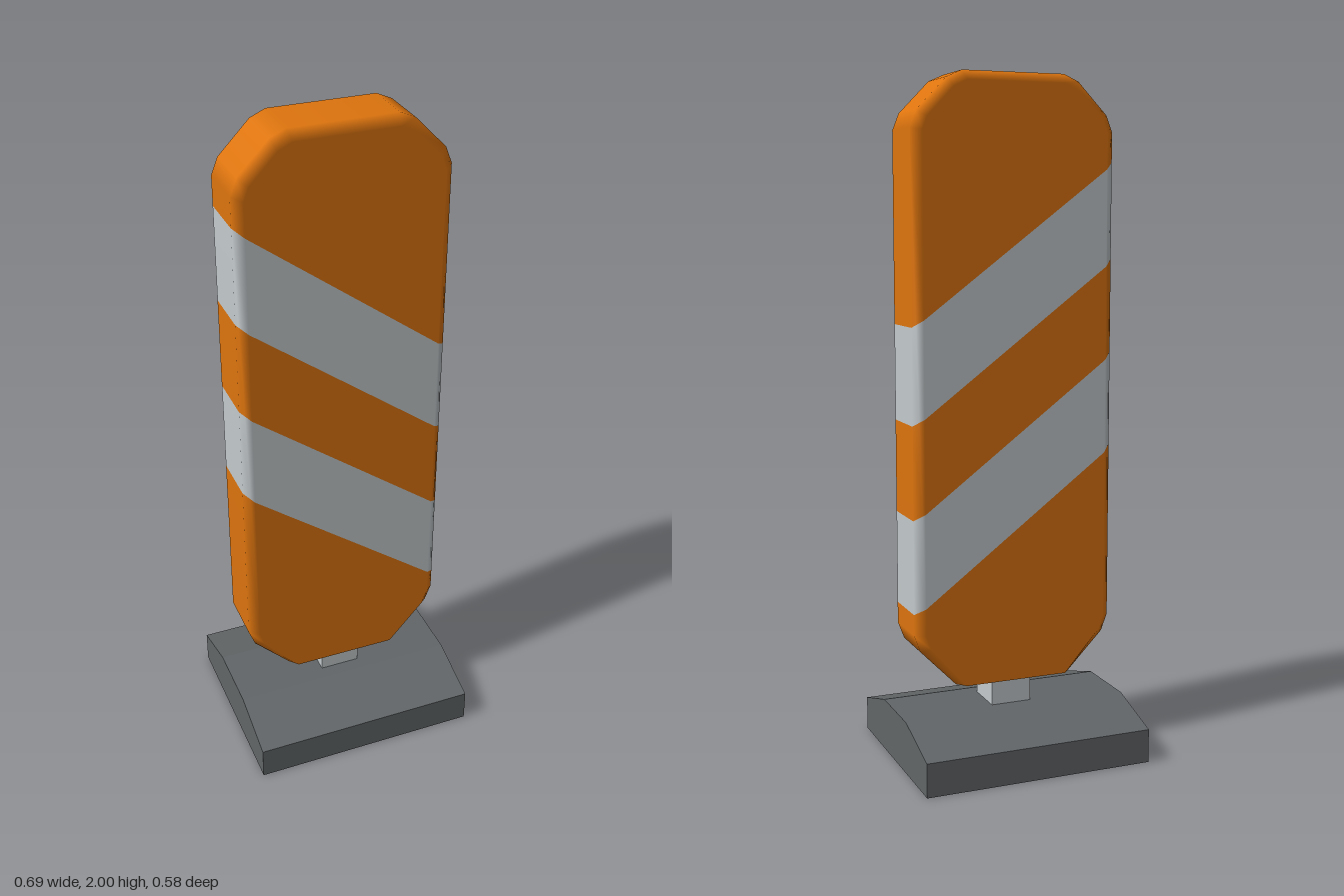
import * as THREE from 'three';

const SLOPE = 0.75; // stripes fall towards +x
const LEVELS = [-9, 0.695, 0.971, 1.244, 1.523, 9]; // band limits on the centre line

// Right half of the board, bottom to top: rim outline and inset face outline
const RIM = [[0.182, 0.24], [0.29, 0.35], [0.309, 0.4], [0.309, 1.84], [0.29, 1.888], [0.2, 1.98], [0.155, 2]];
const FACE = [[0.157, 0.24], [0.266, 0.363], [0.281, 0.405], [0.281, 1.833], [0.267, 1.87], [0.188, 1.953], [0.148, 1.972]];
const mirror = (half) => [...half, ...half.slice().reverse().map(([x, y]) => [-x, y])];

// Triangles of the bevelled board; each corner is [x, y, z, nx, ny, nz]
function boardTriangles() {
  const rim = mirror(RIM), face = mirror(FACE), n = rim.length, tris = [];
  const rings = [[face, 0.105, 1], [rim, 0.077, 0], [rim, -0.077, 0], [face, -0.105, -1]];

  // Outward normals of the rim edges, scaled by edge length
  const edges = rim.map(([x, y], i) => {
    const [u, v] = rim[(i + 1) % n];
    return new THREE.Vector2(v - y, x - u);
  });
  const smooth = edges.map((e, i) => {
    if (i === 0) return e.clone().normalize();
    if (i === n - 1) return edges[n - 2].clone().normalize();
    return e.clone().add(edges[i - 1]).normalize();
  });

  const corner = (r, i, bottom) => {
    const [outline, z, nz] = rings[r];
    const normal = bottom ? [0, -1, 0] : nz ? [0, 0, nz] : [smooth[i].x, smooth[i].y, 0];
    return [...outline[i], z, ...normal];
  };

  // Bevels and side walls
  for (let i = 0; i < n; i++) {
    const j = (i + 1) % n, bottom = i === n - 1;
    for (let r = 0; r < 3; r++) {
      const a = corner(r, i, bottom), b = corner(r + 1, i, bottom);
      const c = corner(r, j, bottom), d = corner(r + 1, j, bottom);
      tris.push([a, b, c], [c, b, d]);
    }
  }
  // Flat front and back faces
  for (let i = 1; i < n - 1; i++) {
    tris.push([corner(0, 0), corner(0, i), corner(0, i + 1)]);
    tris.push([corner(3, 0), corner(3, i + 1), corner(3, i)]);
  }
  return tris;
}

// Keeps the part of a polygon above (sign 1) or below (sign -1) a slanted level
function clip(poly, level, sign) {
  const out = [];
  const height = (p) => sign * (p[1] + SLOPE * p[0] - level);
  poly.forEach((p, i) => {
    const q = poly[(i + 1) % poly.length], hp = height(p), hq = height(q);
    if (hp >= 0) out.push(p);
    if ((hp > 0 && hq < 0) || (hp < 0 && hq > 0)) {
      const t = hp / (hp - hq);
      out.push(p.map((v, k) => v + (q[k] - v) * t));
    }
  });
  return out;
}

// One slanted slice of the board surface
function bandGeometry(tris, low, high) {
  const positions = [], normals = [];
  for (const tri of tris) {
    const poly = clip(clip(tri, low, 1), high, -1);
    for (let i = 1; i < poly.length - 1; i++) {
      for (const p of [poly[0], poly[i], poly[i + 1]]) {
        positions.push(...p.slice(0, 3));
        normals.push(...p.slice(3));
      }
    }
  }
  const geometry = new THREE.BufferGeometry();
  geometry.setAttribute('position', new THREE.Float32BufferAttribute(positions, 3));
  geometry.setAttribute('normal', new THREE.Float32BufferAttribute(normals, 3));
  geometry.normalizeNormals();
  return geometry;
}

export function createModel() {
  const material = (name, color) => {
    const m = new THREE.MeshStandardMaterial({ color });
    m.name = name;
    return m;
  };
  const orange = material('orange', 0xdd740e);
  const lightGrey = material('light grey', 0xc4cacd);
  const darkGrey = material('dark grey', 0x626668);

  const model = new THREE.Group();
  model.name = 'trafficPanel';
  const add = (parent, name, geometry, mat) => {
    const mesh = new THREE.Mesh(geometry, mat);
    mesh.name = name;
    parent.add(mesh);
    return mesh;
  };

  // Striped board
  const board = new THREE.Group();
  board.name = 'board';
  model.add(board);
  const tris = boardTriangles();
  for (let i = 0; i < LEVELS.length - 1; i++) {
    const stripe = i % 2 === 1;
    add(board, (stripe ? 'stripe' : 'boardSection') + (i + 1),
      bandGeometry(tris, LEVELS[i], LEVELS[i + 1]), stripe ? lightGrey : orange);
  }

  // Short square post
  add(model, 'post', new THREE.BoxGeometry(0.124, 0.12, 0.124), lightGrey).position.y = 0.195;

  // Foot with sloping front and back
  const profile = new THREE.Shape([[-0.29, 0], [0.29, 0], [0.29, 0.1], [0.105, 0.155], [-0.105, 0.155], [-0.29, 0.1]]
    .map(([x, y]) => new THREE.Vector2(x, y)));
  const foot = new THREE.ExtrudeGeometry(profile, { depth: 0.692, bevelEnabled: false });
  foot.translate(0, 0, -0.346).rotateY(Math.PI / 2);
  add(model, 'foot', foot, darkGrey);

  return model;
}
